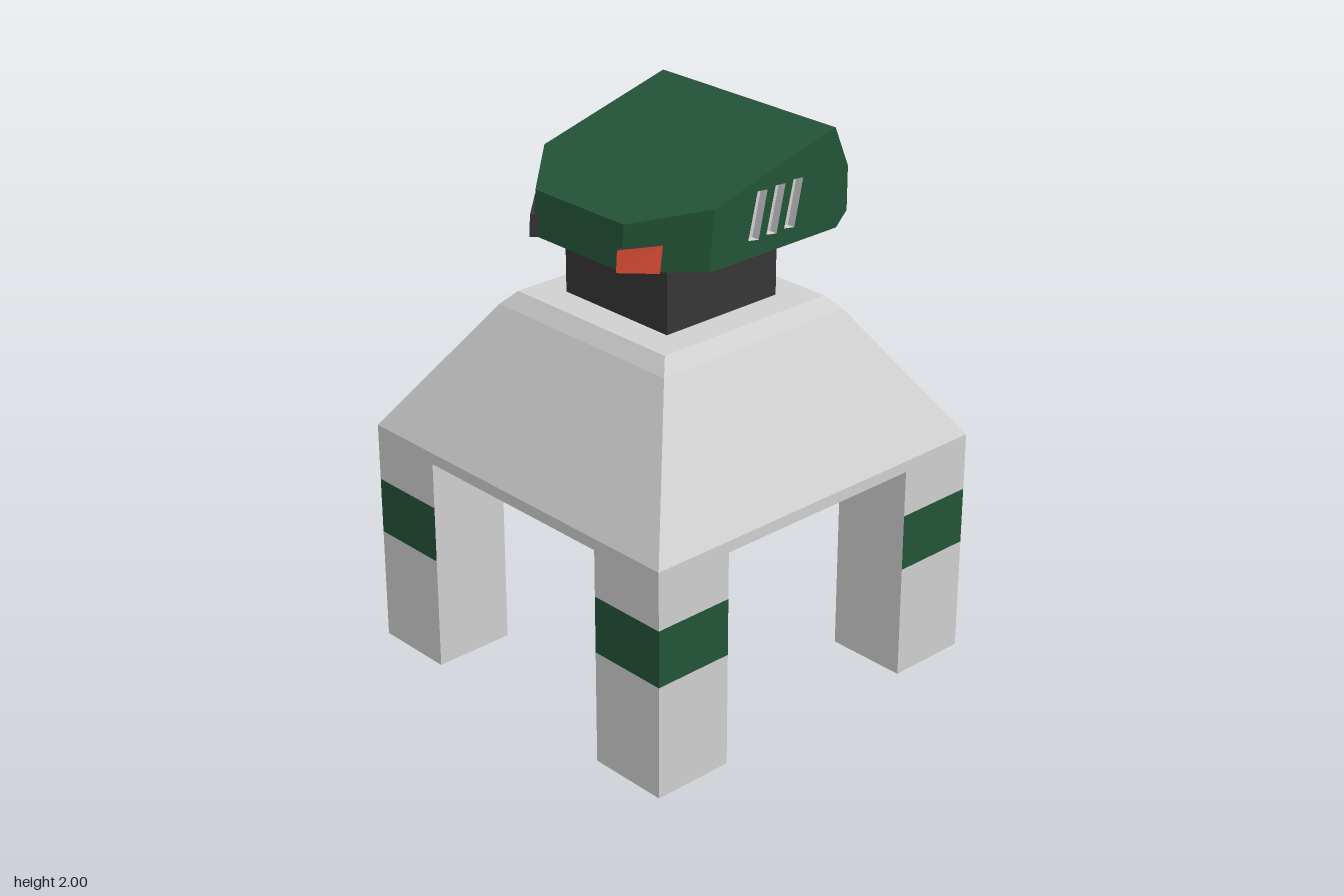
import * as THREE from 'three';

const mat = (name, color) => Object.assign(new THREE.MeshStandardMaterial({ color, flatShading: true }), { name });

export function createModel() {
  const grey = mat('light grey', 0xd0d0d0);
  const green = mat('dark green', 0x245438);
  const dark = mat('charcoal', 0x363636);
  const red = mat('signal red', 0xe05038);

  const root = new THREE.Group();
  root.name = 'walkerTower';
  const add = (parent, name, geo, material) => {
    const m = new THREE.Mesh(geo, material);
    m.name = name;
    parent.add(m);
    return m;
  };

  // Convex polygons, each turned to face away from a centre point
  const polygons = (faces, centre) => {
    const pos = [];
    for (const f of faces) {
      let p = f.map((c) => new THREE.Vector3(...c));
      const n = p[1].clone().sub(p[0]).cross(p[2].clone().sub(p[0]));
      const mid = p.reduce((s, q) => s.add(q), new THREE.Vector3()).divideScalar(p.length);
      if (n.dot(mid.sub(centre)) < 0) p = p.reverse();
      for (let i = 1; i < p.length - 1; i++) {
        for (const q of [p[0], p[i], p[i + 1]]) pos.push(q.x, q.y, q.z);
      }
    }
    const g = new THREE.BufferGeometry();
    g.setAttribute('position', new THREE.Float32BufferAttribute(pos, 3));
    g.computeVertexNormals();
    return g;
  };

  // Flat panel with recessed openings, drawn in its own u/v plane
  const panel = (parent, name, frame, outline, holes, depth, backMat) => {
    const group = new THREE.Group();
    group.name = name;
    group.applyMatrix4(frame);
    parent.add(group);
    const vec = (pts) => {
      const v = pts.map((p) => new THREE.Vector2(...p));
      return THREE.ShapeUtils.isClockWise(v) ? v.reverse() : v;
    };
    const shape = new THREE.Shape(vec(outline));
    for (const h of holes) {
      const pts = vec(h);
      shape.holes.push(new THREE.Path(pts));
      const pos = [];
      pts.forEach((a, i) => {
        const b = pts[(i + 1) % pts.length];
        pos.push(a.x, a.y, 0, b.x, b.y, 0, b.x, b.y, -depth);
        pos.push(a.x, a.y, 0, b.x, b.y, -depth, a.x, a.y, -depth);
      });
      const walls = new THREE.BufferGeometry();
      walls.setAttribute('position', new THREE.Float32BufferAttribute(pos, 3));
      walls.computeVertexNormals();
      add(group, 'recessWalls', walls, grey);
      add(group, 'recessBack', new THREE.ShapeGeometry(new THREE.Shape(pts)), backMat).position.z = -depth;
    }
    add(group, 'panelSkin', new THREE.ShapeGeometry(shape), green);
  };
  const frame = (u, v, o) => {
    const U = new THREE.Vector3(...u), V = new THREE.Vector3(...v).normalize();
    return new THREE.Matrix4().makeBasis(U, V, U.clone().cross(V)).setPosition(...o);
  };

  // Tapered square body
  const profile = [[0, 0.81], [0.735, 0.81], [0.735, 0.852], [0.42, 1.325], [0.373, 1.375], [0, 1.375]]
    .map(([r, y]) => new THREE.Vector2(r * Math.SQRT2, y));
  const body = new THREE.LatheGeometry(profile, 4, Math.PI / 4).toNonIndexed();
  body.computeVertexNormals();
  add(root, 'body', body, grey);

  // Four legs, with a green band on the two outer faces only
  for (const sx of [1, -1]) for (const sz of [1, -1]) {
    const leg = new THREE.Group();
    leg.name = `${sz > 0 ? 'front' : 'back'}${sx > 0 ? 'Left' : 'Right'}Leg`;
    leg.position.set(sx * 0.58, 0, sz * 0.58);
    root.add(leg);
    const band = [sx > 0 ? green : grey, sx < 0 ? green : grey, grey, grey,
      sz > 0 ? green : grey, sz < 0 ? green : grey];
    for (const [name, y0, y1, m] of [['foot', 0, 0.425, grey], ['band', 0.425, 0.637, band], ['thigh', 0.637, 0.81, grey]]) {
      add(leg, name, new THREE.BoxGeometry(0.31, y1 - y0, 0.31), m).position.y = (y0 + y1) / 2;
    }
  }

  // Neck
  add(root, 'neck', new THREE.BoxGeometry(0.51, 0.265, 0.51), dark).position.y = 1.5075;

  // Head shell: wedge with clipped nose corners
  const head = new THREE.Group();
  head.name = 'head';
  root.add(head);
  const W = 0.422, N = 0.22;
  // Mirrors a half outline across z = 0 into a closed polygon
  const mirrored = (half) => [...half, ...half.map(([x, y, z]) => [x, y, -z]).reverse()];
  const chamfer = (s) => [[-0.412, 1.8, s * N], [-0.2, 1.855, s * W], [-0.22, 1.64, s * W], [-0.425, 1.64, s * N]];
  add(head, 'headShell', polygons([
    mirrored([[-0.412, 1.8, N], [-0.2, 1.855, W], [0.355, 2, W]]),
    mirrored([[-0.425, 1.64, N], [-0.22, 1.64, W], [0.37, 1.64, W]]),
    mirrored([[-0.425, 1.64, N], [-0.412, 1.8, N]]),
    mirrored([[0.42, 1.69, W], [0.42, 1.85, W]]),
    mirrored([[0.37, 1.64, W], [0.42, 1.69, W]]),
    chamfer(1), chamfer(-1),
  ], new THREE.Vector3(0, 1.77, 0)), green);

  // Cheeks with three slanted vents each
  for (const s of [1, -1]) {
    const flip = (pts) => pts.map(([x, y]) => [s * x, y]);
    const vents = [0, 0.083, 0.166].map((d) =>
      flip([[-0.046 + d, 1.703], [0.002 + d, 1.695], [0.04 + d, 1.862], [-0.006 + d, 1.866]]));
    panel(head, s > 0 ? 'frontCheek' : 'backCheek', frame([s, 0, 0], [0, 1, 0], [0, 0, s * W]),
      flip([[-0.22, 1.64], [0.37, 1.64], [0.42, 1.69], [0.42, 1.85], [0.355, 2], [-0.2, 1.855]]),
      vents, 0.03, grey);
  }

  // Sloped panel with a red slot
  const L = Math.hypot(0.065, 0.15);
  panel(head, 'slotPanel', frame([0, 0, -1], [-0.065, 0.15, 0], [0.42, 1.85, 0]),
    [[-W, 0], [W, 0], [W, L], [-W, L]],
    [[[-0.213, 0.038], [0.213, 0.038], [0.213, 0.12], [-0.213, 0.12]]], 0.037, red);

  // Lamps on the clipped nose corners: red lens, dark housing
  for (const s of [1, -1]) {
    const outer = [[-0.445, 1.64, s * 0.218], [-0.345, 1.64, s * 0.32], [-0.332, 1.735, s * 0.32], [-0.44, 1.718, s * 0.218]];
    const inner = outer.map(([x, y, z]) => [x + 0.025, y, z - s * 0.025]);
    const centre = new THREE.Vector3(-0.378, 1.685, s * 0.257);
    const lamp = new THREE.Group();
    lamp.name = s > 0 ? 'frontLamp' : 'backLamp';
    head.add(lamp);
    add(lamp, 'lens', polygons([outer], centre), red);
    add(lamp, 'housing', polygons([inner, ...outer.map((p, i) => {
      const j = (i + 1) % 4;
      return [p, outer[j], inner[j], inner[i]];
    })], centre), dark);
  }
  return root;
}
